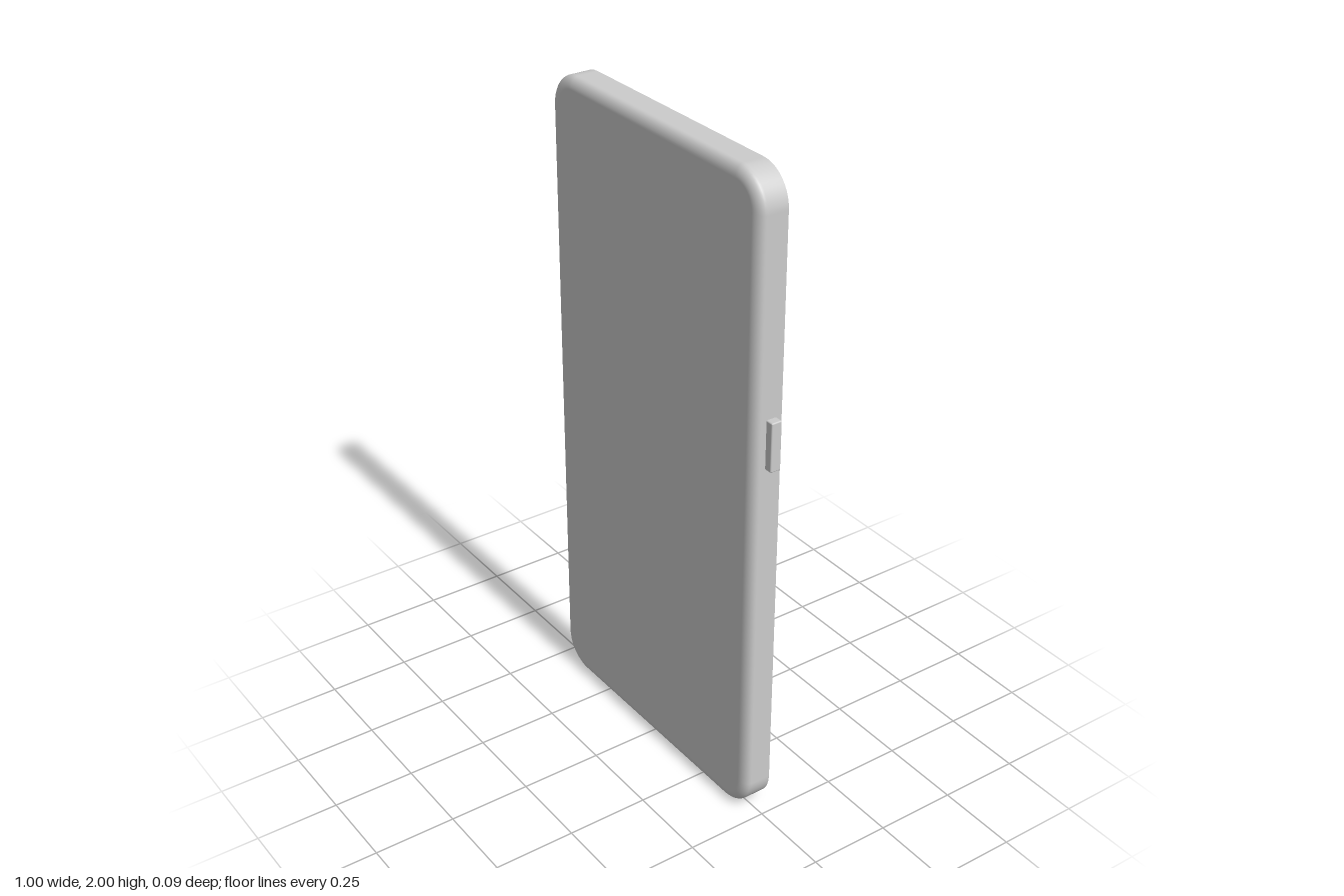
import * as THREE from 'three';
import { RoundedBoxGeometry } from 'three/addons/geometries/RoundedBoxGeometry.js';

const HALF_W = 0.476, HALF_H = 1, CORNER = 0.105, BACK = -0.044, FRONT = 0.044;
const EDGE_IN = 0.035, EDGE_DEEP = 0.024, ARC = 10, EDGE_STEPS = 6;

// Counter-clockwise rounded rectangle, inset from the outer outline
function outline(inset) {
  const r = CORNER - inset, points = [];
  for (let c = 0; c < 4; c++) {
    const sx = c === 0 || c === 3 ? 1 : -1, sy = c < 2 ? 1 : -1;
    for (let i = 0; i <= ARC; i++) {
      const a = (c + i / ARC) * Math.PI / 2;
      points.push([sx * (HALF_W - CORNER) + r * Math.cos(a), sy * (HALF_H - CORNER) + r * Math.sin(a)]);
    }
  }
  return points;
}

// Thin tray: straight side wall, rounded front edge, flat front, open back
function shellGeometry() {
  const profile = [[0, BACK]];
  for (let i = 0; i <= EDGE_STEPS; i++) {
    const a = i / EDGE_STEPS * Math.PI / 2;
    profile.push([EDGE_IN * (1 - Math.cos(a)), FRONT - EDGE_DEEP * (1 - Math.sin(a))]);
  }
  const n = 4 * (ARC + 1), position = [], index = [];
  for (const [inset, z] of profile) {
    for (const [x, y] of outline(inset)) position.push(x, y, z);
  }
  position.push(0, 0, FRONT);
  const centre = profile.length * n, last = centre - n;
  for (let j = 0; j < n; j++) {
    const k = (j + 1) % n;
    for (let s = 0; s < last; s += n) {
      index.push(s + j, s + k, s + n + k, s + j, s + n + k, s + n + j);
    }
    index.push(last + j, last + k, centre);
  }
  const geometry = new THREE.BufferGeometry();
  geometry.setAttribute('position', new THREE.Float32BufferAttribute(position, 3));
  geometry.setIndex(index);
  geometry.computeVertexNormals();
  return geometry;
}

export function createModel() {
  const model = new THREE.Group();
  const material = new THREE.MeshStandardMaterial({ color: 0xcccccc, side: THREE.DoubleSide });

  const shell = new THREE.Mesh(shellGeometry(), material);
  shell.name = 'shell';
  shell.position.set(-0.003, 1, 0);
  model.add(shell);

  // Side buttons, passing just through the wall
  const buttonGeometry = new RoundedBoxGeometry(0.028, 0.15, 0.033, 2, 0.004);
  const buttons = [
    ['powerButton', 0.483, 1.24],
    ['volumeUpButton', -0.484, 1.558],
    ['volumeDownButton', -0.484, 1.395],
  ];
  for (const [name, x, y] of buttons) {
    const button = new THREE.Mesh(buttonGeometry, material);
    button.name = name;
    button.position.set(x, y, -0.011);
    model.add(button);
  }
  return model;
}
